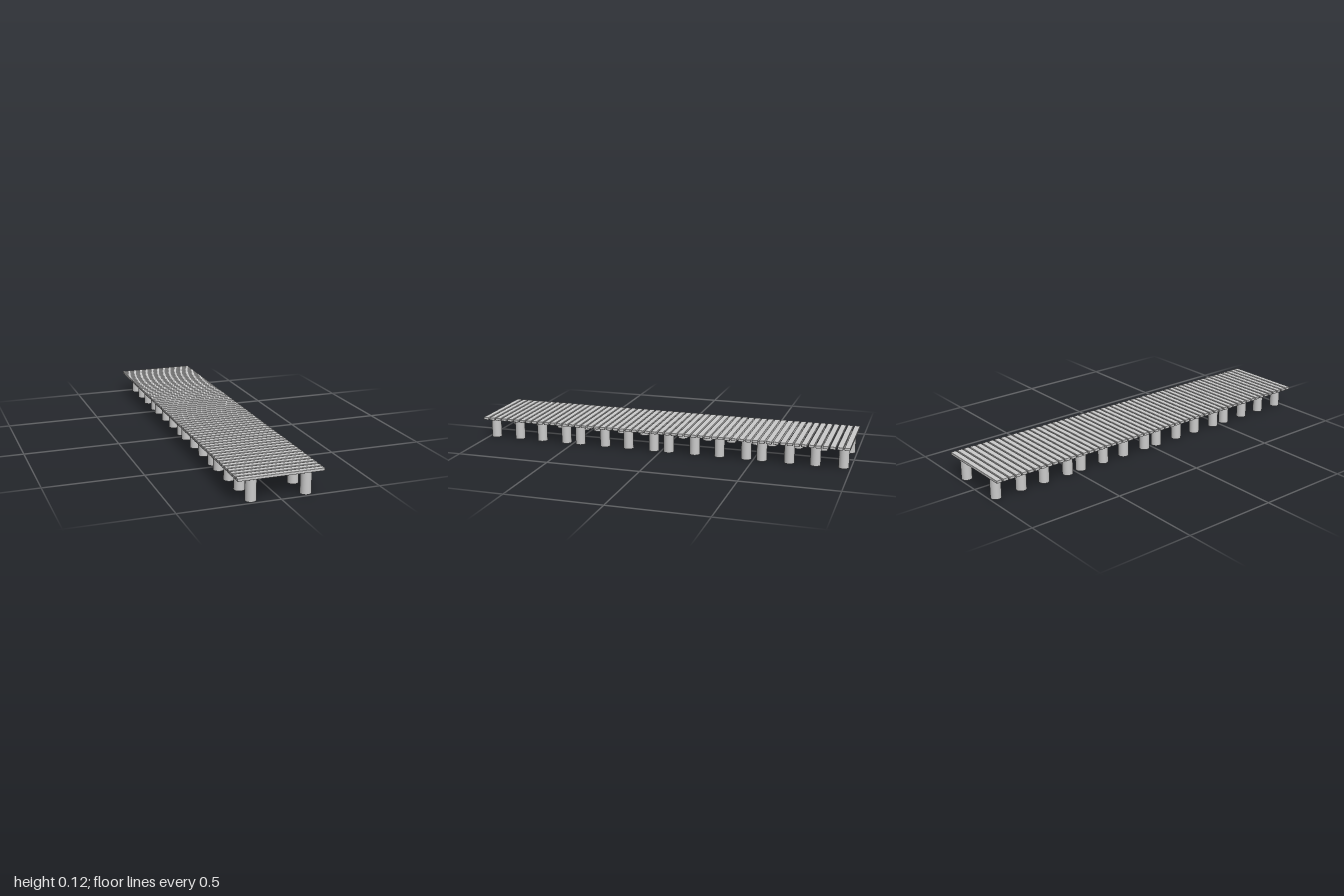
import * as THREE from 'three';
import { RoundedBoxGeometry } from 'three/addons/geometries/RoundedBoxGeometry.js';

export function createModel() {
  const pier = new THREE.Group();
  pier.name = 'pier';
  const material = new THREE.MeshStandardMaterial({ color: 0xcccccc });

  const sections = 4, planksPerSection = 14;
  const gap = 0.007;
  const pitch = (2 + gap) / (sections * planksPerSection);
  const deckTop = 0.125, thickness = 0.014, deckWidth = 0.428;
  const postHeight = deckTop - thickness;

  const plankGeometry = new RoundedBoxGeometry(deckWidth, thickness, pitch - gap, 1, 0.0015);
  const postGeometry = new THREE.CylinderGeometry(0.027, 0.027, postHeight, 32);

  const add = (parent, geometry, name, x, y, z) => {
    const mesh = new THREE.Mesh(geometry, material);
    mesh.name = name;
    mesh.position.set(x, y, z);
    parent.add(mesh);
  };

  for (let s = 0; s < sections; s++) {
    const section = new THREE.Group();
    section.name = 'pierSection';
    section.position.z = (s - (sections - 1) / 2) * planksPerSection * pitch;

    // Cross planks of the deck
    for (let i = 0; i < planksPerSection; i++) {
      const z = (i - (planksPerSection - 1) / 2) * pitch;
      add(section, plankGeometry, 'deckPlank', 0, deckTop - thickness / 2, z);
    }

    // Four pairs of round posts
    for (const z of [-0.21, -0.067, 0.067, 0.21]) {
      for (const side of [-1, 1]) {
        add(section, postGeometry, side > 0 ? 'leftPost' : 'rightPost', side * 0.136, postHeight / 2, z);
      }
    }
    pier.add(section);
  }
  return pier;
}
